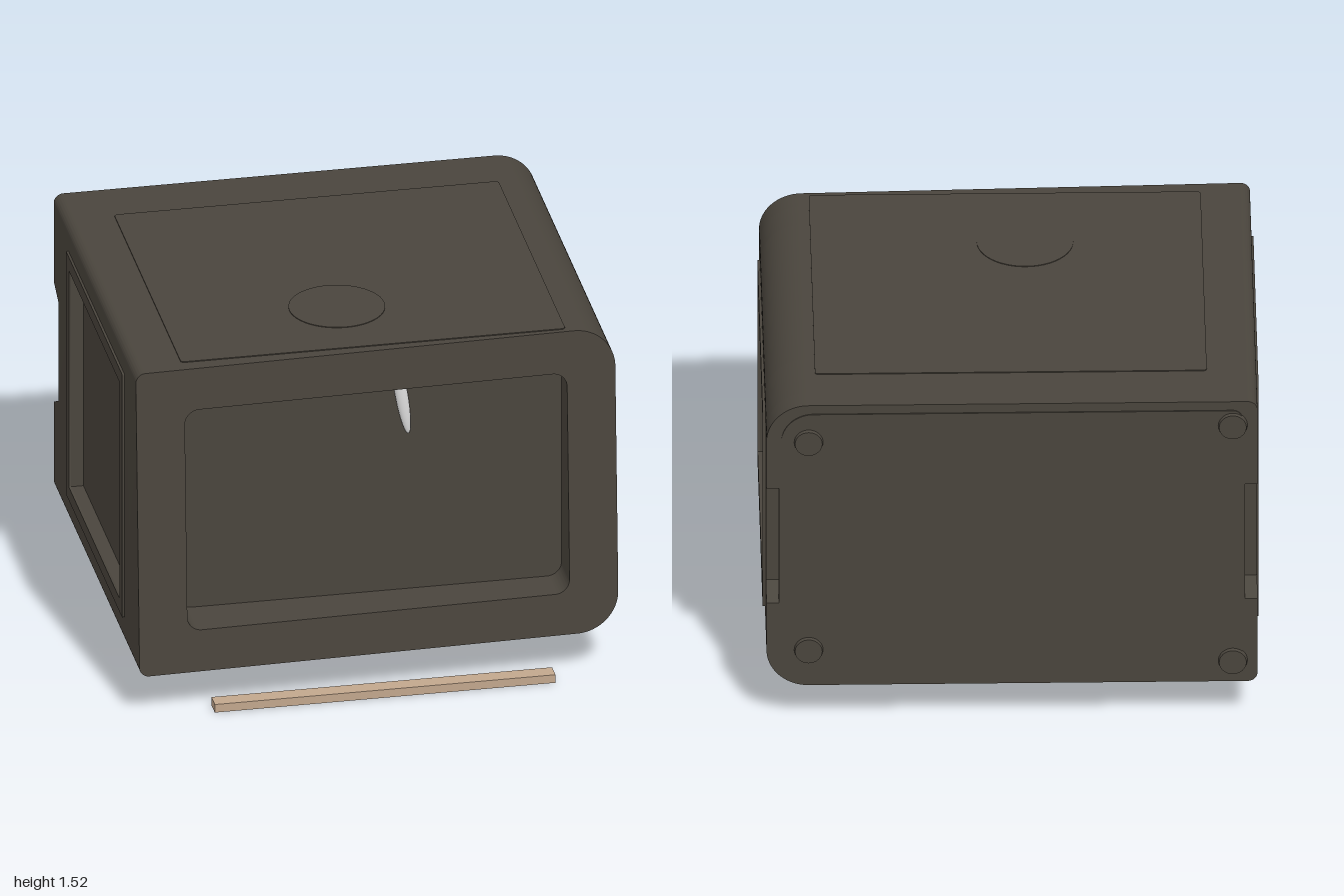
import * as THREE from 'three';
import { toCreasedNormals } from 'three/addons/utils/BufferGeometryUtils.js';

const material = (name, color, side = THREE.FrontSide) => {
  const m = new THREE.MeshStandardMaterial({ color, side });
  m.name = name;
  return m;
};

// Rounded rectangle; left and right corners may have different radii, sides may be notched [y0, y1, depth]
function outline(x0, x1, y0, y1, rl, rr, notchL, notchR, Type = THREE.Shape) {
  const s = new Type();
  const h = Math.PI / 2;
  s.moveTo(x0 + rl, y0);
  s.lineTo(x1 - rr, y0);
  s.absarc(x1 - rr, y0 + rr, rr, -h, 0, false);
  if (notchR) {
    const [a, b, d] = notchR;
    s.lineTo(x1, a); s.lineTo(x1 - d, a); s.lineTo(x1 - d, b); s.lineTo(x1, b);
  }
  s.lineTo(x1, y1 - rr);
  s.absarc(x1 - rr, y1 - rr, rr, 0, h, false);
  s.lineTo(x0 + rl, y1);
  s.absarc(x0 + rl, y1 - rl, rl, h, 2 * h, false);
  if (notchL) {
    const [a, b, d] = notchL;
    s.lineTo(x0, b); s.lineTo(x0 + d, b); s.lineTo(x0 + d, a); s.lineTo(x0, a);
  }
  s.lineTo(x0, y0 + rl);
  s.absarc(x0 + rl, y0 + rl, rl, 2 * h, 3 * h, false);
  return s;
}

const bodyOutline = (nl, nr) => outline(-0.99, 0.99, 0.19, 1.51, 0.04, 0.17, nl, nr);

// Extrude a shape from z0 to z1, optionally moving its vertices by a rule
function slab(shape, z0, z1, rule) {
  const g = new THREE.ExtrudeGeometry(shape, { depth: z1 - z0, bevelEnabled: false, curveSegments: 10 });
  g.translate(0, 0, z0);
  if (rule) {
    const p = g.attributes.position;
    const v = new THREE.Vector3();
    for (let i = 0; i < p.count; i++) {
      v.fromBufferAttribute(p, i);
      rule(v);
      p.setXYZ(i, v.x, v.y, v.z);
    }
  }
  return toCreasedNormals(g, 0.5);
}

export function createModel() {
  const group = new THREE.Group();
  const dark = material('dark casing', 0x4a453d);
  const tan = material('tan', 0xc2a78d);
  const white = material('white', 0xdcdcdc, THREE.DoubleSide);

  const add = (name, geo, mat, x = 0, y = 0, z = 0) => {
    const m = new THREE.Mesh(geo, mat);
    m.name = name;
    m.position.set(x, y, z);
    group.add(m);
    return m;
  };

  // Casing: front rim cut by a slanted plane, around a deep recess
  const rim = bodyOutline();
  rim.holes.push(outline(-0.79, 0.79, 0.37, 1.33, 0.06, 0.06, null, null, THREE.Path));
  add('frontRim', slab(rim, 0.66, 0.8, v => {
    if (v.z > 0.7) v.z = 0.823 - 0.0606 * (v.y - 0.85) - 0.027 * v.x;
  }), dark);
  add('casingFront', slab(bodyOutline(), 0.52, 0.66), dark);
  add('casingMiddle', slab(bodyOutline([0.37, 1.34, 0.05], [0.44, 1.25, 0.05]), -0.52, 0.52), dark);
  add('casingRear', slab(bodyOutline(), -0.78, -0.52), dark);

  // Rear slab with tapered finger notches on both sides
  const grip = [0.58, 1.12, 0.05];
  add('rearSlab', slab(bodyOutline(grip, grip), -0.88, -0.78, v => {
    if (v.z > -0.8 && Math.abs(v.x) > 0.9 && Math.abs(v.y - 0.85) < 0.3) v.y += 0.05 * Math.sign(0.85 - v.y);
  }), dark);
  add('rearPanel', slab(outline(-0.93, 0.93, 0.23, 1.47, 0.04, 0.13), -0.885, -0.879), dark);

  // Round rear feet
  for (const [x, y] of [[-0.89, 1.4], [-0.89, 0.29], [0.82, 1.34], [0.82, 0.36]]) {
    add('rearFoot', new THREE.CylinderGeometry(0.06, 0.055, 0.022, 32).rotateX(Math.PI / 2), dark, x, y, -0.889);
  }

  // Window frames on both sides
  const frame = (name, y0, y1, iy0, iy1, x) => {
    const s = outline(-0.58, 0.58, y0, y1, 0.005, 0.005);
    s.holes.push(outline(-0.52, 0.52, iy0, iy1, 0.003, 0.003, null, null, THREE.Path));
    add(name, slab(s, -0.005, 0.005).rotateY(Math.PI / 2), dark, x);
  };
  frame('leftFrame', 0.38, 1.31, 0.44, 1.25, 0.995);
  frame('rightFrame', 0.31, 1.4, 0.37, 1.34, -0.995);
  add('sidePanel', new THREE.BoxGeometry(0.008, 0.81, 1.04), tan, 0.944, 0.845, 0);

  // Top panel and disc
  add('topPanel', slab(outline(-0.79, 0.79, -0.74, 0.64, 0.015, 0.015), 0, 0.005).rotateX(-Math.PI / 2), dark, 0, 1.509, 0);
  add('topDisc', new THREE.CylinderGeometry(0.195, 0.195, 0.006, 48), dark, -0.075, 1.514, 0.365);

  // Pale sliver at the back of the recess
  const sliver = add('sliver', new THREE.SphereGeometry(1, 24, 16), white, 0.13, 1.25, 0.665);
  sliver.scale.set(0.026, 0.185, 0.02);
  sliver.rotation.z = 0.16;

  // Underside: pale triangle and tan corner patch
  const tri = new THREE.Shape([[0.68, 0.6], [-0.91, -0.57], [-0.91, 0.59]].map(p => new THREE.Vector2(...p)));
  add('undersidePanel', new THREE.ShapeGeometry(tri).rotateX(Math.PI / 2), white, 0, 0.186, 0);
  const patch = new THREE.CircleGeometry(0.14, 20, -Math.PI / 2, Math.PI / 2).rotateX(Math.PI / 2);
  add('cornerPatch', patch, tan, -0.91, 0.187, 0.87);

  // Underside: small tabs, flap handle and side pull
  for (const z of [0.56, -0.54]) add('tab', new THREE.BoxGeometry(0.05, 0.02, 0.08), dark, -0.895, 0.186, z);
  const flap = slab(outline(-0.29, 0.29, -0.08, 0.08, 0.02, 0.02), -0.015, 0.015).rotateX(-Math.PI / 2);
  add('flapHandle', flap, dark, -0.1, 0.167, -0.66).rotation.x = -0.36;
  add('sidePull', new THREE.CapsuleGeometry(0.024, 0.17, 8, 16).rotateX(Math.PI / 2), dark, 0.745, 0.164, -0.025);

  // Loose bar on the ground in front
  add('bar', new THREE.BoxGeometry(1.4, 0.036, 0.07), tan, 0.02, 0.018, 0.85);

  return group;
}
